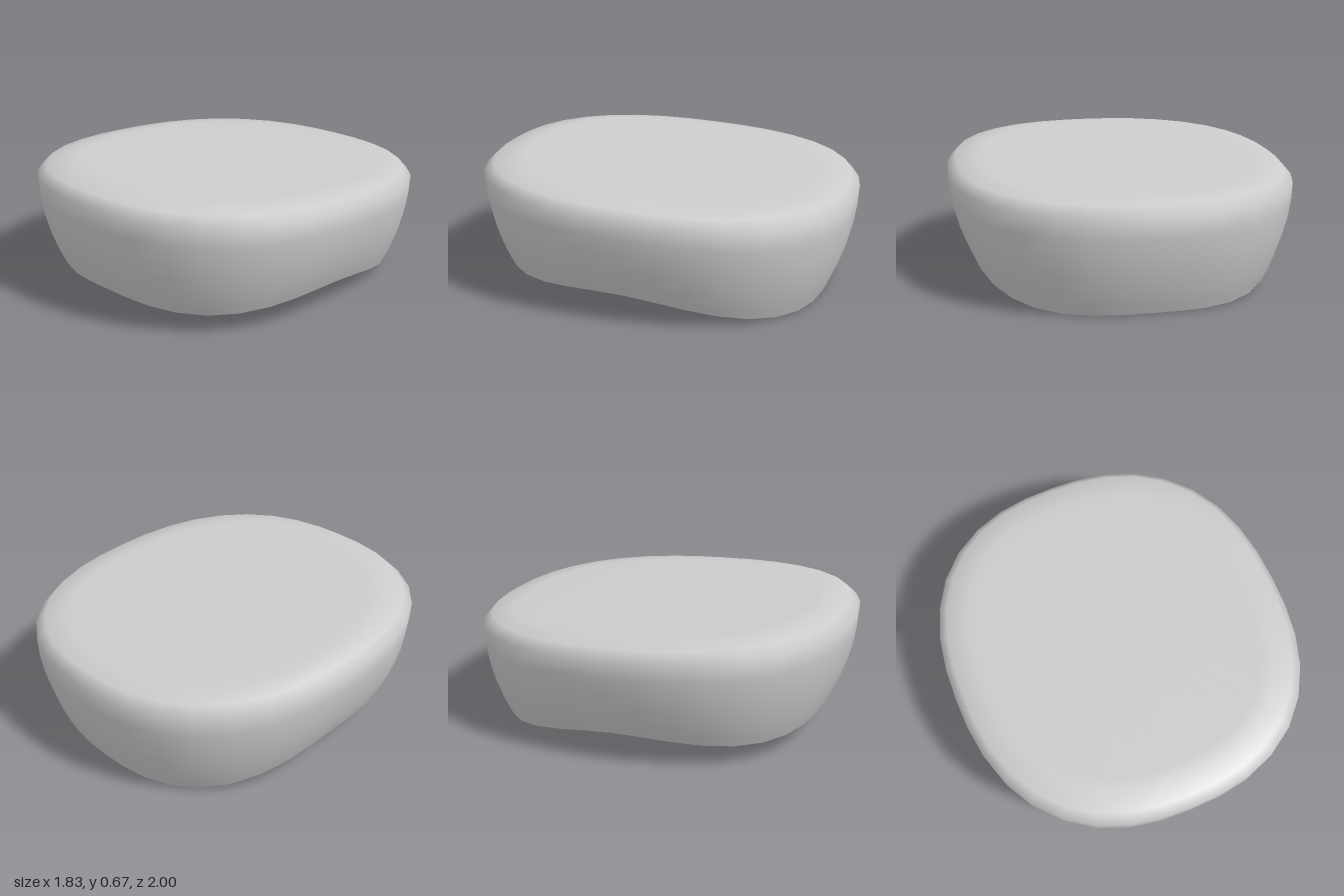
import * as THREE from 'three';

const SEGMENTS = 36;
const HALF_WIDTH = 0.915;
const POWER = 2.4; // squareness of the rounded outline

// Rounded outline point at angle a (0 = front), scaled by s
function outline(a, s) {
  const sx = Math.sin(a), cz = Math.cos(a);
  const r = s / Math.pow(Math.abs(sx) ** POWER + Math.abs(cz) ** POWER, 1 / POWER);
  return [sx * r * HALF_WIDTH, cz * r];
}

// Wavy lower edge: raised at the sides, lowest at the back
const lowerEdge = (a) =>
  0.084 + 0.06 * Math.cos(a) - 0.037 * Math.cos(2 * a) + 0.02 * Math.cos(4 * a);

function shellGeometry() {
  const rings = [];

  // Curved side wall, from the lower edge up to the tilted rim
  for (const u of [0, 0.1, 0.22, 0.4, 0.6, 0.8, 1]) {
    const s = 0.875 + 0.125 * (1 - (1 - u) ** 2);
    rings.push((a) => {
      const [x, z] = outline(a, s);
      const low = lowerEdge(a);
      return [x, low + (0.56 + 0.05 * z - low) * u, z];
    });
  }

  // Rounded shoulder and flat sloping top: scale, height, slope
  for (const [s, h, k] of [[0.95, 0.61, 0.048], [0.84, 0.627, 0.057], [0.78, 0.628, 0.057], [0.4, 0.628, 0.057]]) {
    rings.push((a) => {
      const [x, z] = outline(a, s);
      return [x, h + k * z, z];
    });
  }

  const positions = [], index = [];
  rings.forEach((ring, r) => {
    for (let i = 0; i < SEGMENTS; i++) {
      positions.push(...ring((i / SEGMENTS) * Math.PI * 2));
      const j = (i + 1) % SEGMENTS;
      const a = r * SEGMENTS + i, b = r * SEGMENTS + j;
      if (r < rings.length - 1) index.push(a, b, b + SEGMENTS, a, b + SEGMENTS, a + SEGMENTS);
      else index.push(a, b, rings.length * SEGMENTS); // fan to the centre
    }
  });
  positions.push(0, 0.628, 0);

  const geometry = new THREE.BufferGeometry();
  geometry.setAttribute('position', new THREE.Float32BufferAttribute(positions, 3));
  geometry.setIndex(index);
  geometry.computeVertexNormals();
  return geometry;
}

export function createModel() {
  const group = new THREE.Group();
  group.name = 'cover';
  const grey = new THREE.MeshStandardMaterial({ color: 0xcccccc, side: THREE.DoubleSide });
  grey.name = 'light grey';

  // Thin shell, open underneath
  const shell = new THREE.Mesh(shellGeometry(), grey);
  shell.name = 'shell';
  group.add(shell);
  return group;
}
